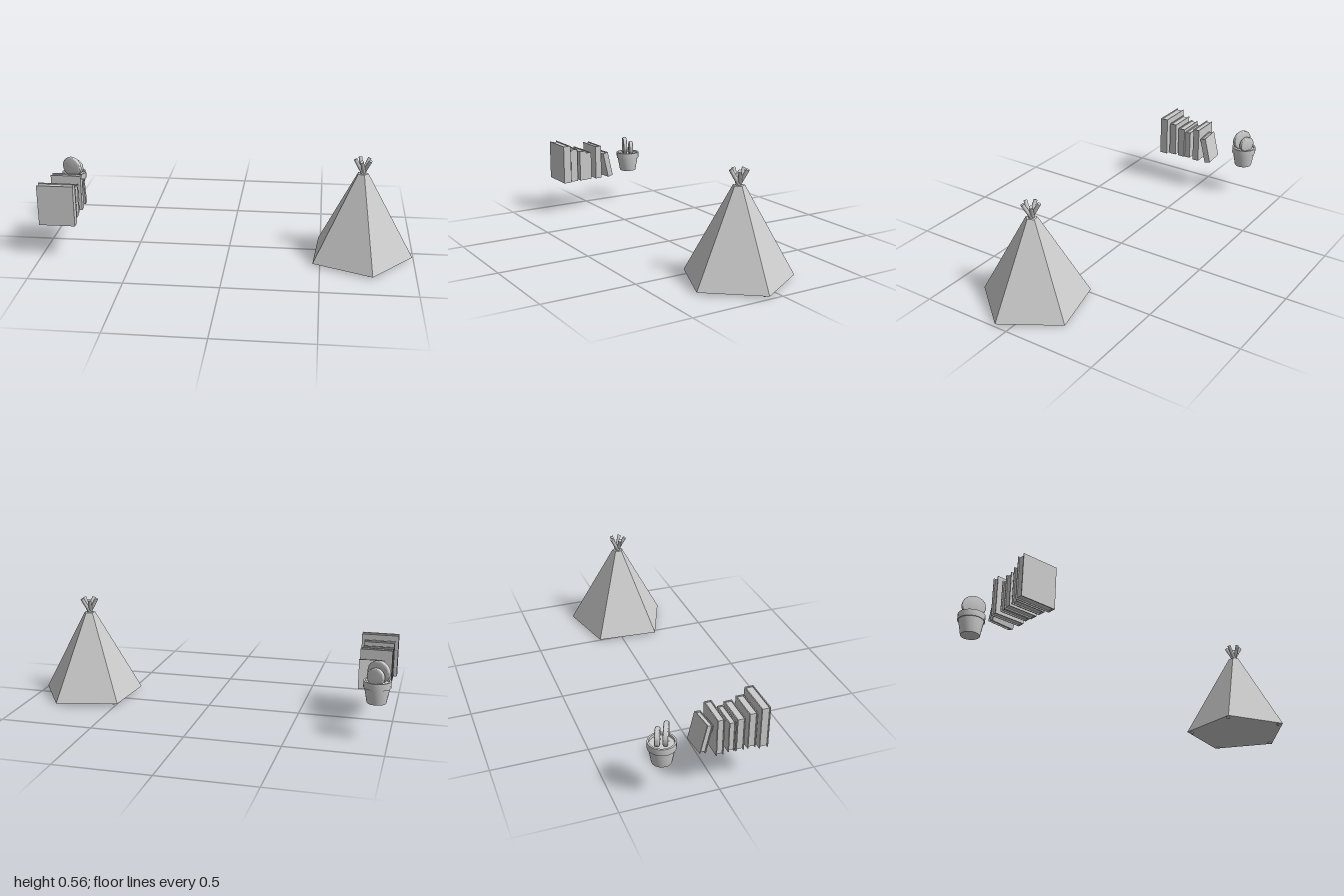
import * as THREE from 'three';
import { toCreasedNormals } from 'three/addons/utils/BufferGeometryUtils.js';

const grey = new THREE.MeshStandardMaterial({ color: 0xcccccc, side: THREE.DoubleSide });

function add(parent, name, geometry, x = 0, y = 0, z = 0) {
  const mesh = new THREE.Mesh(geometry, grey);
  mesh.name = name;
  mesh.position.set(x, y, z);
  parent.add(mesh);
  return mesh;
}

function makeGroup(parent, name, x = 0, y = 0, z = 0) {
  const group = new THREE.Group();
  group.name = name;
  group.position.set(x, y, z);
  parent.add(group);
  return group;
}

// Five-sided tent with poles crossing just above its neck
function buildTent(parent) {
  const tent = makeGroup(parent, 'tent', 0.707, 0, 0.05);
  const turn = THREE.MathUtils.degToRad(4.5);
  const cloth = new THREE.CylinderGeometry(0.03, 0.288, 0.465, 5, 1).toNonIndexed();
  cloth.computeVertexNormals();
  add(tent, 'tentCloth', cloth, 0, 0.2445, 0).rotation.y = Math.PI / 2 - turn;

  const up = new THREE.Vector3(0, 1, 0);
  for (let i = 0; i < 5; i++) {
    const a = turn + (i * Math.PI * 2) / 5;
    // a small sideways shift lets the poles pass beside each other
    const sx = -Math.sin(a) * 0.006, sz = Math.cos(a) * 0.006;
    const foot = new THREE.Vector3(Math.cos(a) * 0.266 + sx, 0.006, Math.sin(a) * 0.266 + sz);
    const tip = new THREE.Vector3(-Math.cos(a) * 0.042 + sx, 0.555, -Math.sin(a) * 0.042 + sz);
    const dir = tip.clone().sub(foot);
    const pole = add(tent, 'tentPole', new THREE.CylinderGeometry(0.0095, 0.0095, dir.length(), 12));
    pole.position.copy(foot).add(tip).multiplyScalar(0.5);
    pole.quaternion.setFromUnitVectors(up, dir.normalize());
  }
}

// Book standing on its lower edge, spine towards +x; origin at front bottom edge
function buildBook(parent, w, h, t, x, z, lean = 0, twist = 0) {
  const book = makeGroup(parent, 'book', x, 0.19, z);
  book.rotation.set(lean, twist, 0, 'YXZ');
  const c = 0.005, inset = 0.006;
  for (const cz of [-c / 2, -t + c / 2]) {
    add(book, 'bookCover', new THREE.BoxGeometry(w, h, c), 0, h / 2, cz);
  }
  add(book, 'bookSpine', new THREE.BoxGeometry(c, h, t - 2 * c), w / 2 - c / 2, h / 2, -t / 2);
  add(book, 'bookPages', new THREE.BoxGeometry(w - c - inset, h - 2 * inset, t - 2 * c),
    (inset - c) / 2, h / 2, -t / 2);
}

// Flat rounded cactus pad
function buildPad(parent, rx, ry, x, y, z) {
  const bevel = 0.008, depth = 0.009;
  const shape = new THREE.Shape();
  shape.absellipse(0, 0, rx - bevel, ry - bevel, 0, Math.PI * 2);
  const geometry = new THREE.ExtrudeGeometry(shape, {
    depth, curveSegments: 16, bevelThickness: bevel, bevelSize: bevel, bevelSegments: 4,
  });
  geometry.translate(0, 0, -depth / 2);
  add(parent, 'cactusPad', toCreasedNormals(geometry, 0.7), x, y, z).rotation.y = -0.42;
}

function buildCactus(parent) {
  const plant = makeGroup(parent, 'pottedCactus', -0.931, 0, -0.268);
  // Pot with a raised rim, hollow above the soil
  const profile = [
    [0, 0.19], [0.049, 0.19], [0.064, 0.27], [0.069, 0.27], [0.069, 0.305],
    [0.06, 0.305], [0.058, 0.285],
  ].map(([r, y]) => new THREE.Vector2(r, y));
  add(plant, 'pot', toCreasedNormals(new THREE.LatheGeometry(profile, 24), 0.6));
  add(plant, 'soil', new THREE.CylinderGeometry(0.059, 0.057, 0.01, 24), 0, 0.288, 0);
  buildPad(plant, 0.061, 0.057, -0.004, 0.344, 0.019);
  buildPad(plant, 0.047, 0.046, 0.008, 0.328, -0.019);
}

export function createModel() {
  const model = new THREE.Group();
  model.name = 'tentBooksAndCactus';
  buildTent(model);

  // Row of upright books, the last one leaning on the row
  const row = makeGroup(model, 'bookRow');
  buildBook(row, 0.195, 0.225, 0.046, -0.9, 0.241);
  buildBook(row, 0.16, 0.197, 0.042, -0.9, 0.185);
  buildBook(row, 0.16, 0.18, 0.042, -0.9, 0.125);
  buildBook(row, 0.148, 0.165, 0.034, -0.9, 0.08);
  buildBook(row, 0.165, 0.2, 0.038, -0.9, 0.02);
  buildBook(row, 0.13, 0.153, 0.034, -0.882, -0.06, 0.23, 0.09);

  buildCactus(model);
  return model;
}
